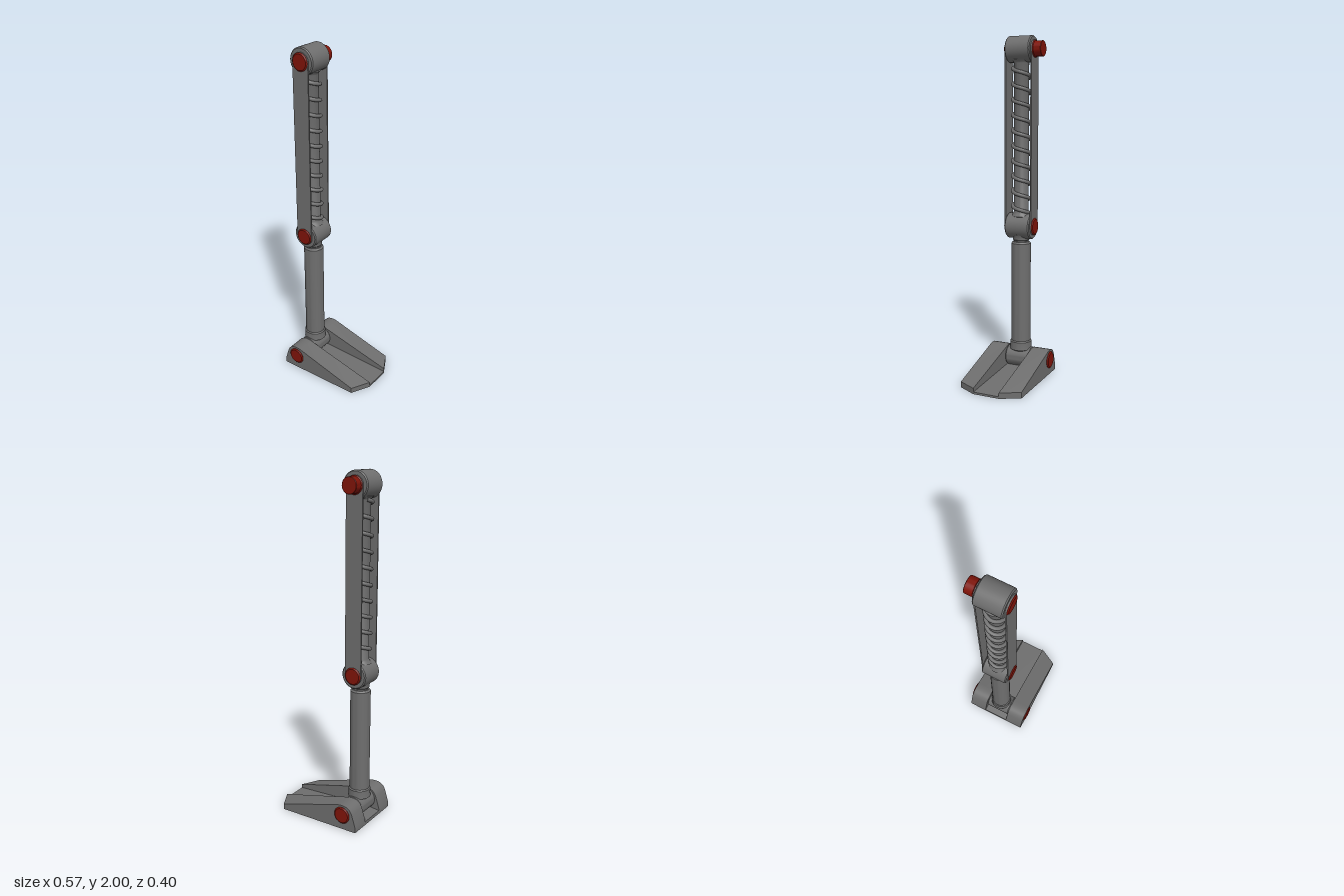
import * as THREE from 'three';
import { toCreasedNormals } from 'three/addons/utils/BufferGeometryUtils.js';

const LEG_X = -0.194, ANKLE_Y = 0.087, KNEE_Y = 0.892, HIP_Y = 1.924;

export function createModel() {
  const model = new THREE.Group();
  const grey = new THREE.MeshStandardMaterial({ color: 0x6e6e6e });
  const red = new THREE.MeshStandardMaterial({ color: 0x801409 });

  const add = (name, geometry, material = grey, parent = model) => {
    const mesh = new THREE.Mesh(geometry, material);
    mesh.name = name;
    parent.add(mesh);
    return mesh;
  };
  // Turned part from [radius, height] points running upwards
  const turned = (points) => toCreasedNormals(
    new THREE.LatheGeometry(points.map(([r, h]) => new THREE.Vector2(r, h)), 40), 0.5);
  // Bevelled round bar centred on its own axis
  const bar = (r, half, bevel) => turned([
    [0, -half], [r - bevel, -half], [r, bevel - half],
    [r, half - bevel], [r - bevel, half], [0, half]]);

  // Leg: everything stands on the axis through the ankle
  const leg = new THREE.Group();
  leg.name = 'leg';
  leg.position.x = LEG_X;
  model.add(leg);

  // Joint barrels lie along z
  const barrel = (name, y, r, half) => {
    const mesh = add(name, bar(r, half, 0.006), grey, leg);
    mesh.rotation.x = Math.PI / 2;
    mesh.position.y = y;
  };
  barrel('ankleBarrel', ANKLE_Y, 0.062, 0.078);
  barrel('kneeBarrel', KNEE_Y, 0.076, 0.077);
  barrel('hipBarrel', HIP_Y, 0.076, 0.077);

  // Lower leg tube with its ankle collar and the narrower neck into the knee
  add('ankleCollar', turned([
    [0, 0.1], [0.066, 0.137], [0.064, 0.15],
    [0.064, 0.185], [0.058, 0.192], [0, 0.192]]), grey, leg);
  add('lowerLegTube', turned([
    [0, 0.18], [0.058, 0.18], [0.058, 0.788], [0.05, 0.798], [0, 0.798]]), grey, leg);
  add('kneeNeck', turned([
    [0, 0.79], [0.043, 0.79], [0.043, 0.805], [0.05, 0.811],
    [0.05, 0.823], [0.058, 0.842], [0, 0.867]]), grey, leg);

  // Upper leg rod, flared into both barrels
  add('upperLegRod', turned([
    [0, 0.93], [0.06, 0.952], [0.048, 0.969], [0.044, 0.978],
    [0.044, 1.845], [0.048, 1.853], [0.06, 1.866], [0, 1.89]]), grey, leg);

  // Coil spring around the rod
  class Helix extends THREE.Curve {
    getPoint(t, target = new THREE.Vector3()) {
      const y = 0.965 + t * 0.885;
      const a = (y - 0.907) / 0.089 * Math.PI * 2;
      return target.set(Math.cos(a) * 0.051, y, Math.sin(a) * 0.051);
    }
  }
  add('spring', new THREE.TubeGeometry(new Helix(), 360, 0.011, 10), grey, leg);

  // Thin round-ended side plates linking knee and hip
  const plate = new THREE.Shape();
  plate.absarc(0, HIP_Y, 0.051, 0, Math.PI);
  plate.absarc(0, KNEE_Y, 0.051, Math.PI, Math.PI * 2);
  plate.closePath();
  const plateGeometry = toCreasedNormals(new THREE.ExtrudeGeometry(plate,
    { depth: 0.008, bevelEnabled: false, curveSegments: 24 }), 0.5);
  for (const [name, z] of [['frontPlate', 0.077], ['backPlate', -0.085]]) {
    add(name, plateGeometry, grey, leg).position.z = z;
  }

  // Bolt caps on both ends of each joint
  const capGeometry = turned([
    [0, -0.01], [0.05, -0.01], [0.05, 0.002], [0.043, 0.008], [0, 0.008]]);
  for (const [joint, y, z] of [['ankle', ANKLE_Y, 0.19], ['knee', KNEE_Y, 0.084], ['hip', HIP_Y, 0.084]]) {
    for (const side of [1, -1]) {
      const cap = add(joint + (side > 0 ? 'FrontBolt' : 'BackBolt'), capGeometry, red, leg);
      cap.rotation.x = side * Math.PI / 2;
      cap.position.set(0, y, side * z);
    }
  }
  // Longer stub behind the hip
  const stub = add('hipStub', bar(0.045, 0.03, 0.002), red, leg);
  stub.rotation.x = Math.PI / 2;
  stub.position.set(0, HIP_Y, -0.106);

  // Foot: two wedge cheeks whose outer toe corners are cut back
  const foot = new THREE.Group();
  foot.name = 'foot';
  model.add(foot);
  const profile = new THREE.Shape();
  profile.moveTo(-0.284, 0);
  profile.lineTo(0.282, 0);
  profile.lineTo(0.282, 0.034);
  profile.lineTo(-0.165, 0.145);
  profile.quadraticCurveTo(-0.24, 0.16, -0.26, 0.105);
  profile.lineTo(-0.284, 0.03);
  profile.closePath();
  for (const side of [1, -1]) {
    const cheek = new THREE.ExtrudeGeometry(profile,
      { depth: 0.111, bevelEnabled: false, curveSegments: 12 });
    cheek.translate(0, 0, side > 0 ? 0.079 : -0.19);
    const p = cheek.attributes.position;
    for (let i = 0; i < p.count; i++) {
      if (p.getX(i) > 0.25 && Math.abs(p.getZ(i)) > 0.15) p.setX(i, 0.223);
    }
    add(side > 0 ? 'frontCheek' : 'backCheek', toCreasedNormals(cheek, 0.4), grey, foot);
  }

  // Low sole between the cheeks, rising gently from the toe to the ankle
  const soleProfile = new THREE.Shape();
  soleProfile.moveTo(-0.284, 0);
  soleProfile.lineTo(0.282, 0);
  soleProfile.lineTo(0.282, 0.012);
  soleProfile.lineTo(-0.19, 0.032);
  soleProfile.lineTo(-0.284, 0.02);
  soleProfile.closePath();
  const sole = add('sole', new THREE.ExtrudeGeometry(soleProfile,
    { depth: 0.158, bevelEnabled: false }), grey, foot);
  sole.position.z = -0.079;

  return model;
}
